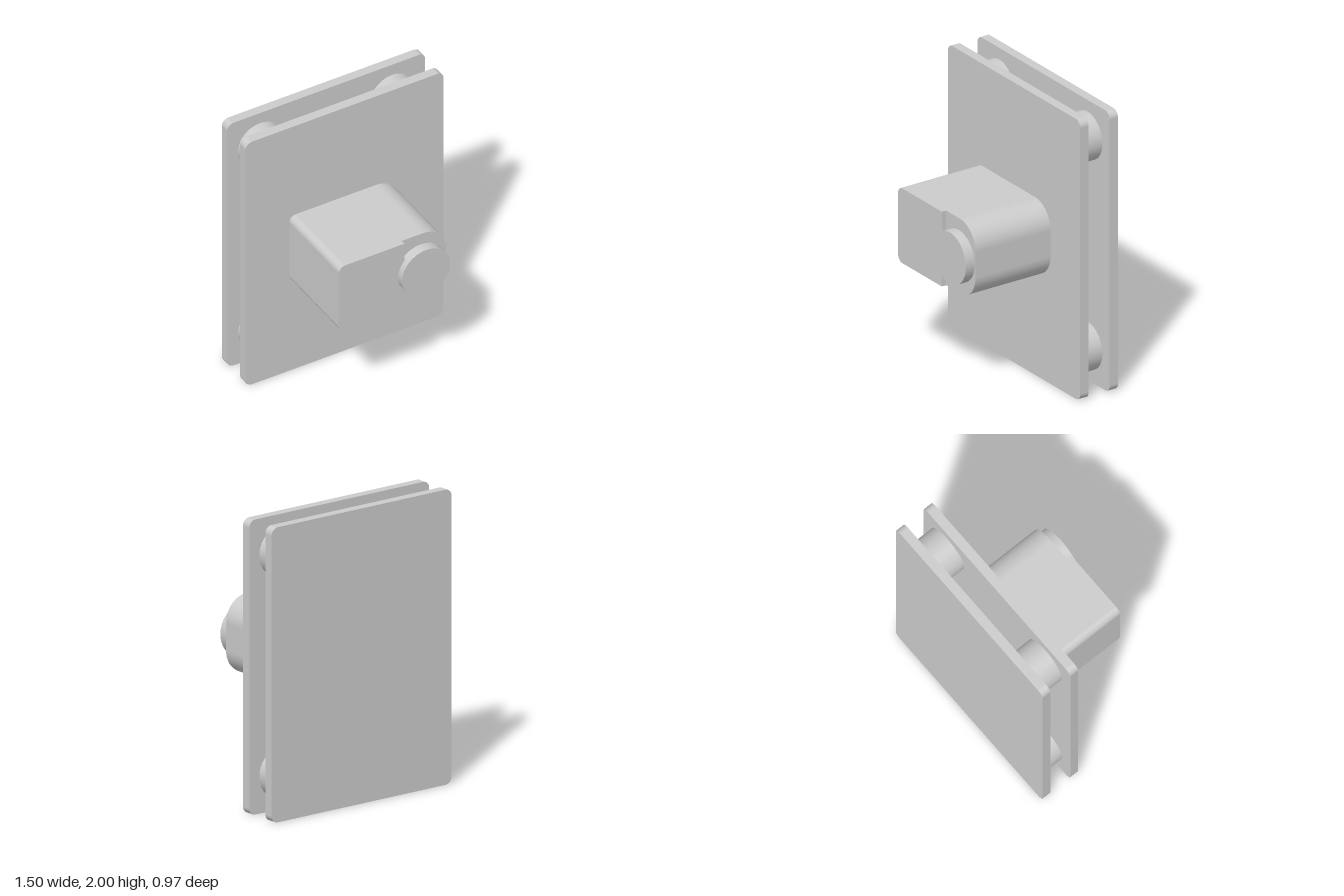
import * as THREE from 'three';

const material = new THREE.MeshStandardMaterial({ color: 0xcccccc });
const MID = 1.003; // height of the handle's centre

// Rectangle outline with separate corner radii on its left (-x) and right (+x) sides
function roundedRect(x0, x1, y0, y1, rl, rr) {
  const s = new THREE.Shape();
  s.moveTo(x0 + rl, y0);
  s.lineTo(x1 - rr, y0);
  s.absarc(x1 - rr, y0 + rr, rr, -Math.PI / 2, 0, false);
  s.absarc(x1 - rr, y1 - rr, rr, 0, Math.PI / 2, false);
  s.lineTo(x0 + rl, y1);
  s.absarc(x0 + rl, y1 - rl, rl, Math.PI / 2, Math.PI, false);
  s.absarc(x0 + rl, y0 + rl, rl, Math.PI, Math.PI * 1.5, false);
  return s;
}

// Solid disc outline
function disc(x, y, r) {
  return new THREE.Shape().absarc(x, y, r, 0, Math.PI * 2, false);
}

// Extrude an outline between two depths
function slab(name, shape, z0, z1, curveSegments = 12) {
  const geometry = new THREE.ExtrudeGeometry(shape, { depth: z1 - z0, bevelEnabled: false, curveSegments });
  geometry.translate(0, 0, z0);
  const mesh = new THREE.Mesh(geometry, material);
  mesh.name = name;
  return mesh;
}

export function createModel() {
  const model = new THREE.Group();
  model.name = 'plateLock';

  // Two parallel plates
  const plate = roundedRect(-0.75, 0.75, 0, 2, 0.05, 0.05);
  model.add(slab('frontPlate', plate, -0.25, -0.183));
  model.add(slab('backPlate', plate, -0.483, -0.417));

  // Four round spacers between the plates
  for (const x of [-0.5, 0.5]) {
    for (const y of [0.25, 1.75]) {
      model.add(slab('spacer', disc(x, y, 0.167), -0.417, -0.25, 48));
    }
  }

  // Housing block, with larger rounding on the button side
  const body = roundedRect(-0.417, 0.413, MID - 0.267, MID + 0.267, 0.05, 0.175);
  model.add(slab('housing', body, -0.183, 0.413));

  // Raised cover on the other half, with a round cut-out for the button
  const edge = 0.08, bx = 0.222, notch = 0.192, r = 0.05;
  const a = Math.acos((edge - bx) / notch);
  const y0 = MID - 0.267, y1 = MID + 0.267;
  const cover = new THREE.Shape();
  cover.moveTo(-0.417 + r, y0);
  cover.lineTo(edge, y0);
  cover.absarc(bx, MID, notch, -a, a - Math.PI * 2, true);
  cover.lineTo(edge, y1);
  cover.absarc(-0.417 + r, y1 - r, r, Math.PI / 2, Math.PI, false);
  cover.absarc(-0.417 + r, y0 + r, r, Math.PI, Math.PI * 1.5, false);
  model.add(slab('raisedCover', cover, 0.413, 0.447));

  // Round push button
  model.add(slab('button', disc(bx, MID, 0.182), 0.413, 0.483, 48));

  return model;
}
